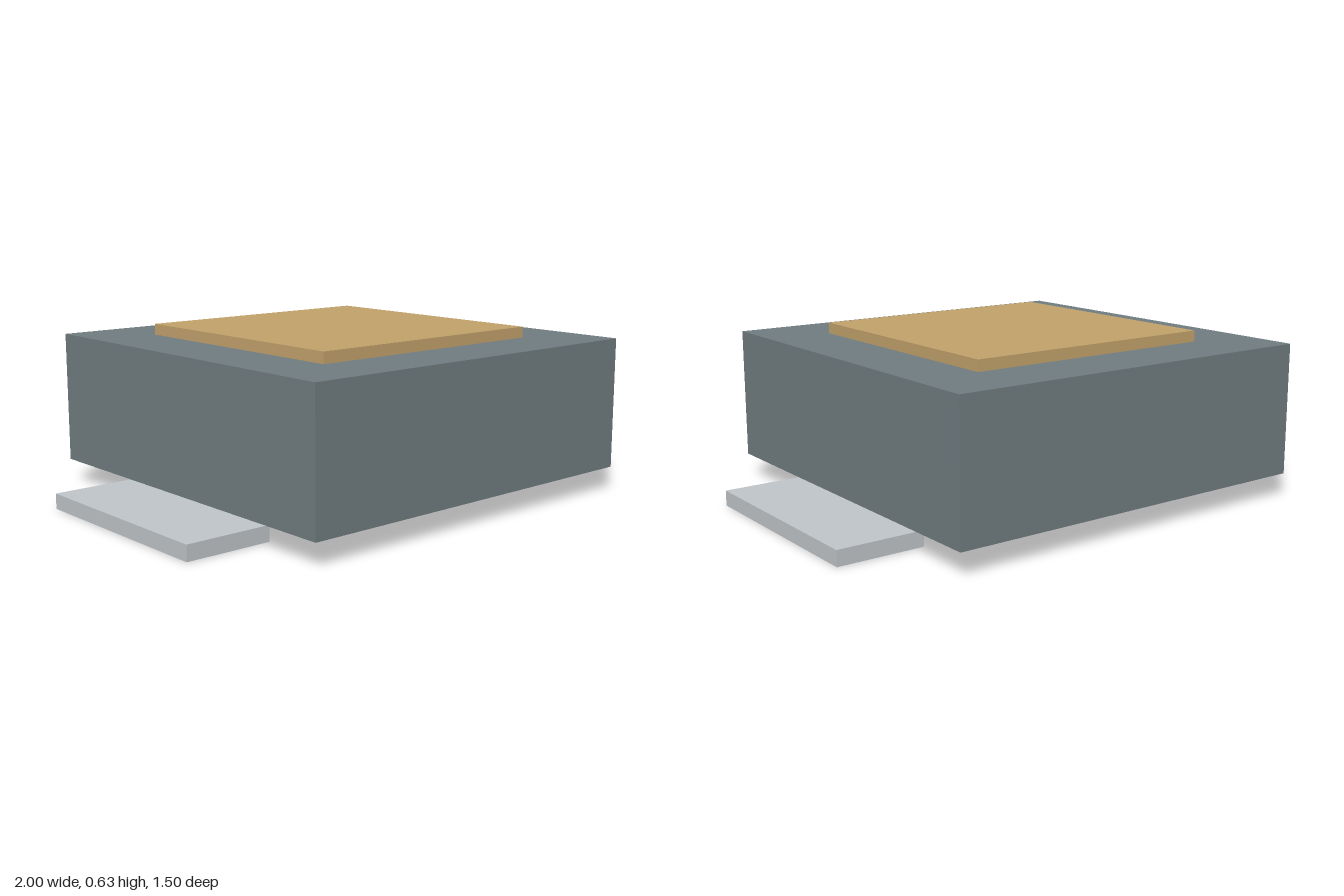
import * as THREE from 'three';

export function createModel() {
  const group = new THREE.Group();
  const slate = new THREE.MeshStandardMaterial({ color: 0x707c80 });
  slate.name = 'slate grey';
  const tan = new THREE.MeshStandardMaterial({ color: 0xc2a26b });
  tan.name = 'tan';
  const silver = new THREE.MeshStandardMaterial({ color: 0xc0c5c9 });
  silver.name = 'silver';

  // Adds a box standing on height y
  function addBox(name, material, [w, h, d], x, y) {
    const mesh = new THREE.Mesh(new THREE.BoxGeometry(w, h, d), material);
    mesh.name = name;
    mesh.position.set(x, y + h / 2, 0);
    group.add(mesh);
  }

  // Main block and the plate on top of it
  addBox('body', slate, [1.5, 0.5, 1.5], 0, 0.09);
  addBox('topPlate', tan, [1, 0.042, 1], 0, 0.59);

  // Flat contact pads, one on each side
  for (const side of [-1, 1]) {
    addBox(side > 0 ? 'leftPad' : 'rightPad', silver, [0.333, 0.058, 0.833], side * 0.8335, 0);
  }
  return group;
}
